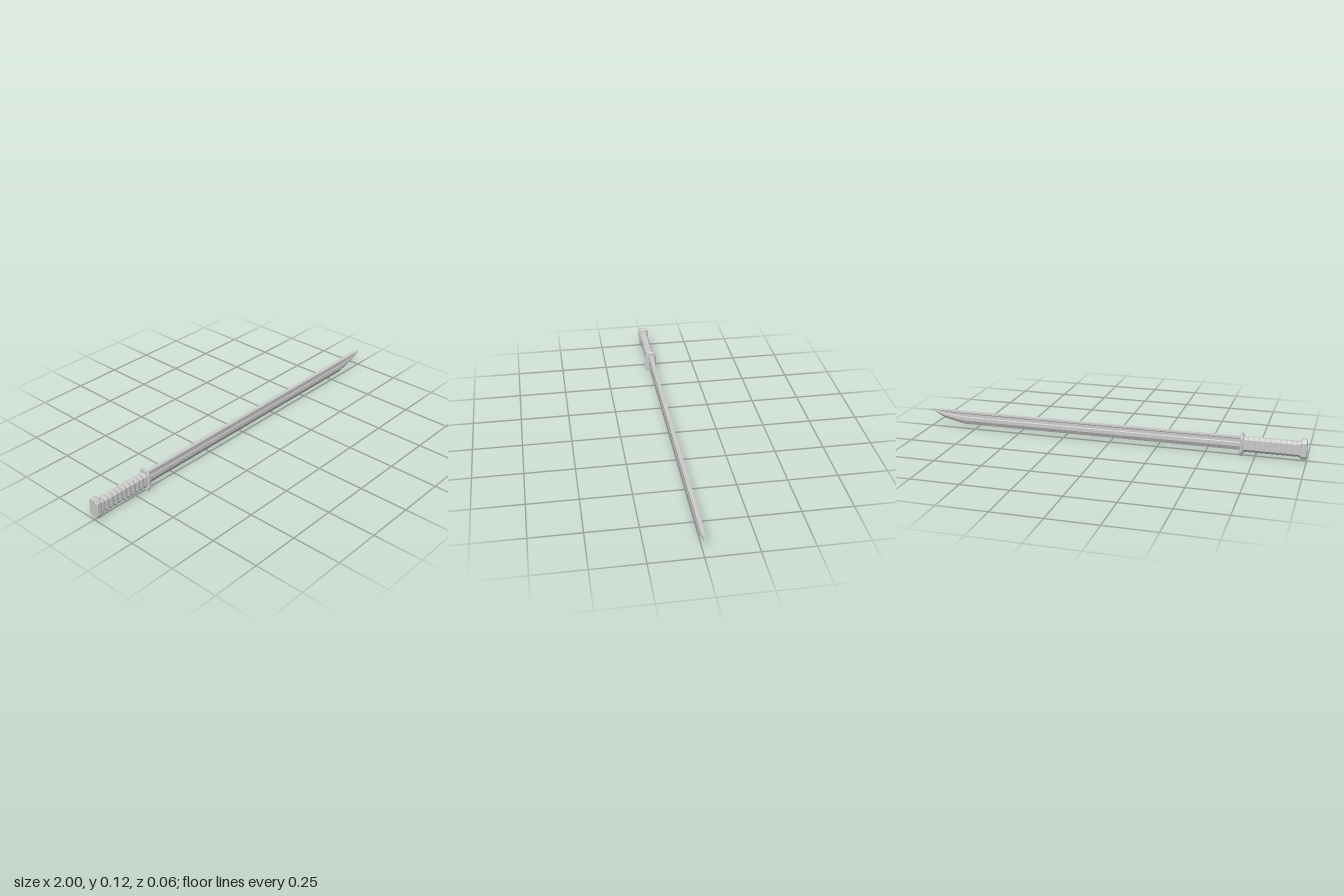
import * as THREE from 'three';

const steel = new THREE.MeshStandardMaterial({ color: 0xcccccc, flatShading: true });

// Skin a list of rings (running along +x, each turning from +y to +z) and cap both ends
function loft(name, rings) {
  const n = rings[0].length, pos = [];
  const tri = (a, b, c) => pos.push(...a, ...b, ...c);
  for (let i = 0; i < rings.length - 1; i++) {
    for (let j = 0; j < n; j++) {
      const k = (j + 1) % n, r = rings[i], s = rings[i + 1];
      tri(r[j], r[k], s[k]);
      tri(r[j], s[k], s[j]);
    }
  }
  const centre = (r) => [0, 1, 2].map((a) => r.reduce((t, p) => t + p[a], 0) / n);
  const first = rings[0], last = rings[rings.length - 1];
  for (let j = 0; j < n; j++) {
    const k = (j + 1) % n;
    tri(centre(first), first[k], first[j]);
    tri(centre(last), last[j], last[k]);
  }
  const geo = new THREE.BufferGeometry();
  geo.setAttribute('position', new THREE.Float32BufferAttribute(pos, 3));
  geo.computeVertexNormals();
  const mesh = new THREE.Mesh(geo, steel);
  mesh.name = name;
  return mesh;
}

// Octagonal ring: half height h, half depth d, corner cuts cy and cz, optional slant along x
function octagon(x, y, h, d, cy, cz, slant = 0) {
  return [
    [h, d - cz], [h - cy, d], [cy - h, d], [-h, d - cz],
    [-h, cz - d], [cy - h, -d], [h - cy, -d], [h, cz - d],
  ].map(([v, z]) => [x + slant * z, y + v, z]);
}

// Blade: flat spine, shallow groove on each side, single edge below, tip swept up to the spine
function blade() {
  const top = 0.096, full = 0.071;
  const side = [[0, 0.01], [0.008, 0.01], [0.012, 0.0075], [0.027, 0.0075], [0.031, 0.01], [0.05, 0.01]];
  const section = [...side, [full, 0], ...side.map(([y, z]) => [y, -z]).reverse()];
  const stations = [ // x, edge height, thickness
    [-0.68, 0.025, 1], [0.81, 0.025, 1], [0.86, 0.036, 1], [0.92, 0.051, 1],
    [0.96, 0.071, 0.8], [0.999, 0.0955, 0.08],
  ];
  return loft('blade', stations.map(([x, edge, t]) =>
    section.map(([y, z]) => [x, top - y * (top - edge) / full, z * t])));
}

// Grip: a row of slanted cord turns
function grip() {
  const rings = [], turns = 11, x0 = -0.975, x1 = -0.685;
  for (let i = 0; i <= turns * 3; i++) {
    const swell = i % 3 === 0 ? -0.0025 : 0;
    rings.push(octagon(x0 + (x1 - x0) * i / (turns * 3), 0.06,
      0.039 + swell, 0.021 + swell, 0.013, 0.01, 0.2));
  }
  return loft('grip', rings);
}

export function createModel() {
  const sword = new THREE.Group();
  sword.name = 'sword';

  // Bevelled guard plate
  const guard = loft('guard', [
    octagon(-0.69, 0.0575, 0.053, 0.027, 0.02, 0.01),
    octagon(-0.686, 0.0575, 0.0575, 0.031, 0.023, 0.012),
    octagon(-0.679, 0.0575, 0.0575, 0.031, 0.023, 0.012),
    octagon(-0.675, 0.0575, 0.053, 0.027, 0.02, 0.01),
  ]);

  // Bevelled end cap
  const pommel = loft('pommel', [
    octagon(-1, 0.0625, 0.047, 0.024, 0.016, 0.01),
    octagon(-0.995, 0.0625, 0.051, 0.027, 0.018, 0.011),
    octagon(-0.975, 0.0625, 0.051, 0.027, 0.018, 0.011),
    octagon(-0.969, 0.0625, 0.046, 0.023, 0.016, 0.01),
  ]);

  sword.add(blade(), guard, grip(), pommel);
  return sword;
}
